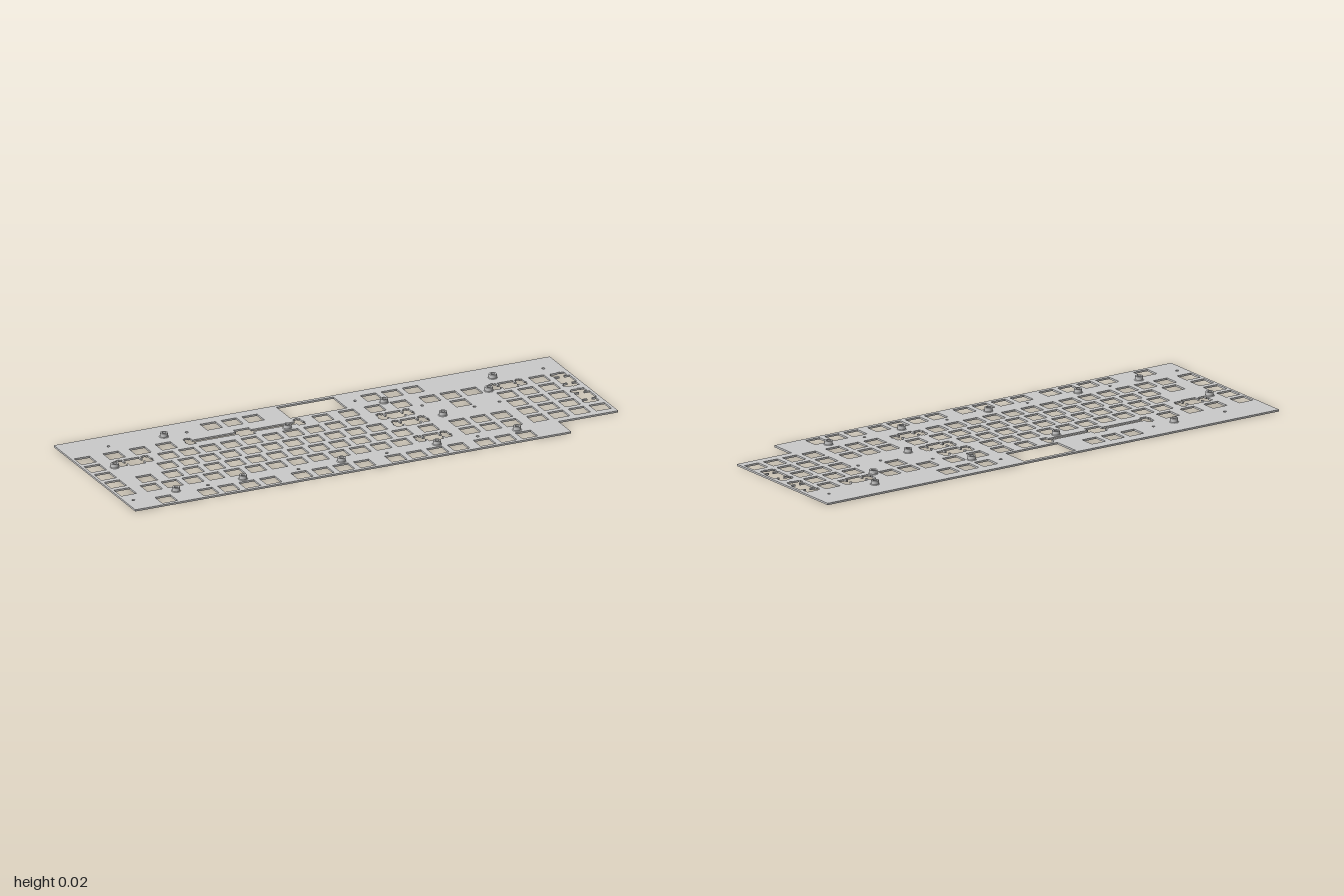
import * as THREE from 'three';

const U = 0.0842;            // key pitch
const MM = U / 19.05;        // millimetre in model units
const X0 = -0.853;           // centre of first main column
const Z0 = 0.004;            // centre of the middle key row
const THICK = 0.007;
const ROW_Z = [-3.25, -2, -1, 0, 1, 2, 3.5].map(r => Z0 + r * U);

// Closed hole from [x, z] points (shape y is -z)
function hole(points) {
  return new THREE.Path(points.map(([x, z]) => new THREE.Vector2(x, -z)));
}

function rectHole(x0, x1, z0, z1) {
  return hole([[x0, z0], [x1, z0], [x1, z1], [x0, z1]]);
}

function roundHole(x, z, r) {
  return new THREE.Path().absarc(x, -z, r, 0, Math.PI * 2, true);
}

// Switch cut-out joined to two stabiliser slots at distance d (mm)
function stabHole(cx, cz, d, vertical = false) {
  const a = d - 3.325, b = d + 3.325;
  const half = [
    [7, 7], [7, 2.3], [a, 2.3], [a, 5.53], [b, 5.53], [b, 2.3], [d + 4.2, 2.3],
    [d + 4.2, -0.5], [b, -0.5], [b, -6.77], [d + 1.525, -6.77], [d + 1.525, -7.97],
    [d - 1.525, -7.97], [d - 1.525, -6.77], [a, -6.77], [a, -2.3], [7, -2.3], [7, -7],
  ];
  const all = [...half, ...half.map(([x, y]) => [-x, y]).reverse()];
  return hole(all.map(([x, y]) => vertical
    ? [cx + y * MM, cz + x * MM]
    : [cx + x * MM, cz + y * MM]));
}

export function createModel() {
  const group = new THREE.Group();
  const metal = new THREE.MeshStandardMaterial({ color: 0xcacaca });
  metal.name = 'light grey metal';

  // Plate outline with the notched corner, counter-clockwise
  const shape = new THREE.Shape([
    [-1, 0.345], [0.758, 0.345], [0.758, 0.235], [1, 0.235], [1, -0.345], [-1, -0.345],
  ].map(([x, z]) => new THREE.Vector2(x, -z)));

  // Single switch cut-outs: columns in key units for each row
  const run = (start, n) => Array.from({ length: n }, (_, i) => start + i);
  const macro = -1.25, nav = run(15.25, 3), pad = run(18.5, 3);
  const rows = [
    [...run(5.375, 3), ...run(13.05, 3)],
    [macro, 0.125, 1.375, 2.625, 10.125, 11.375, 12.625, 13.875, ...nav, 20.5],
    [macro, ...run(2.25, 10), 16.25, ...pad],
    [macro, ...run(1.75, 11), ...pad],
    [macro, 0.25, ...run(1.5, 12), 13.75, ...nav, ...pad],
    [macro, ...run(0, 13), ...nav, ...run(18.5, 4)],
    [0, ...run(2, 4), ...run(6.5, 4), ...run(11, 4), ...nav],
  ];
  const h = 7 * MM;
  rows.forEach((cols, r) => cols.forEach(c => {
    const x = X0 + c * U, z = ROW_Z[r];
    shape.holes.push(rectHole(x - h, x + h, z - h, z + h));
  }));

  // Wide keys with stabilisers: column, row, slot distance
  [[6.375, 1, 50], [19, 1, 11.9], [0.625, 2, 11.9], [13.125, 2, 11.9],
    [13.375, 3, 11.9], [13.5, 5, 11.9]].forEach(([c, r, d]) =>
    shape.holes.push(stabHole(X0 + c * U, ROW_Z[r], d)));
  // Tall keys of the number pad
  [-1.5, 0.5].forEach(r =>
    shape.holes.push(stabHole(X0 + 21.5 * U, Z0 + r * U, 11.9, true)));

  // Display window
  shape.holes.push(rectHole(-0.109, 0.12, -0.33, -0.213));

  // Small screw holes
  [[-0.824, -0.252], [-0.508, -0.252], [0.176, -0.263], [0.93, -0.252],
    [0.377, -0.118], [0.545, -0.026], [0.647, -0.03], [-0.965, 0.256],
    [-0.658, 0.242], [-0.294, 0.244], [0.064, 0.242], [0.432, 0.239],
  ].forEach(([x, z]) => shape.holes.push(roundHole(x, z, 0.006)));

  const plateGeo = new THREE.ExtrudeGeometry(shape, {
    depth: THICK, bevelEnabled: false, curveSegments: 10,
  });
  plateGeo.rotateX(-Math.PI / 2);
  const plate = new THREE.Mesh(plateGeo, metal);
  plate.name = 'switchPlate';
  group.add(plate);

  // Hollow standoffs with a flared foot
  const ring = new THREE.Shape().absarc(0, 0, 0.0148, 0, Math.PI * 2, false);
  ring.holes.push(roundHole(0, 0, 0.008));
  const tubeGeo = new THREE.ExtrudeGeometry(ring, {
    depth: 0.0155, bevelEnabled: false, curveSegments: 24,
  });
  tubeGeo.rotateX(-Math.PI / 2);
  const footGeo = new THREE.CylinderGeometry(0.0148, 0.0175, 0.002, 32, 1, true);
  footGeo.translate(0, 0.001, 0);

  [[-0.601, -0.25], [0.725, -0.25], [0.265, -0.205], [0.658, -0.143],
    [-0.16, -0.132], [-0.89, -0.06], [0.405, -0.001], [-0.787, 0.243],
    [-0.517, 0.243], [-0.12, 0.243], [0.265, 0.243], [0.588, 0.243],
  ].forEach(([x, z]) => {
    const post = new THREE.Group();
    post.name = 'standoff';
    const tube = new THREE.Mesh(tubeGeo, metal);
    tube.name = 'standoffTube';
    const foot = new THREE.Mesh(footGeo, metal);
    foot.name = 'standoffFoot';
    post.add(tube, foot);
    post.position.set(x, THICK, z);
    group.add(post);
  });
  return group;
}
